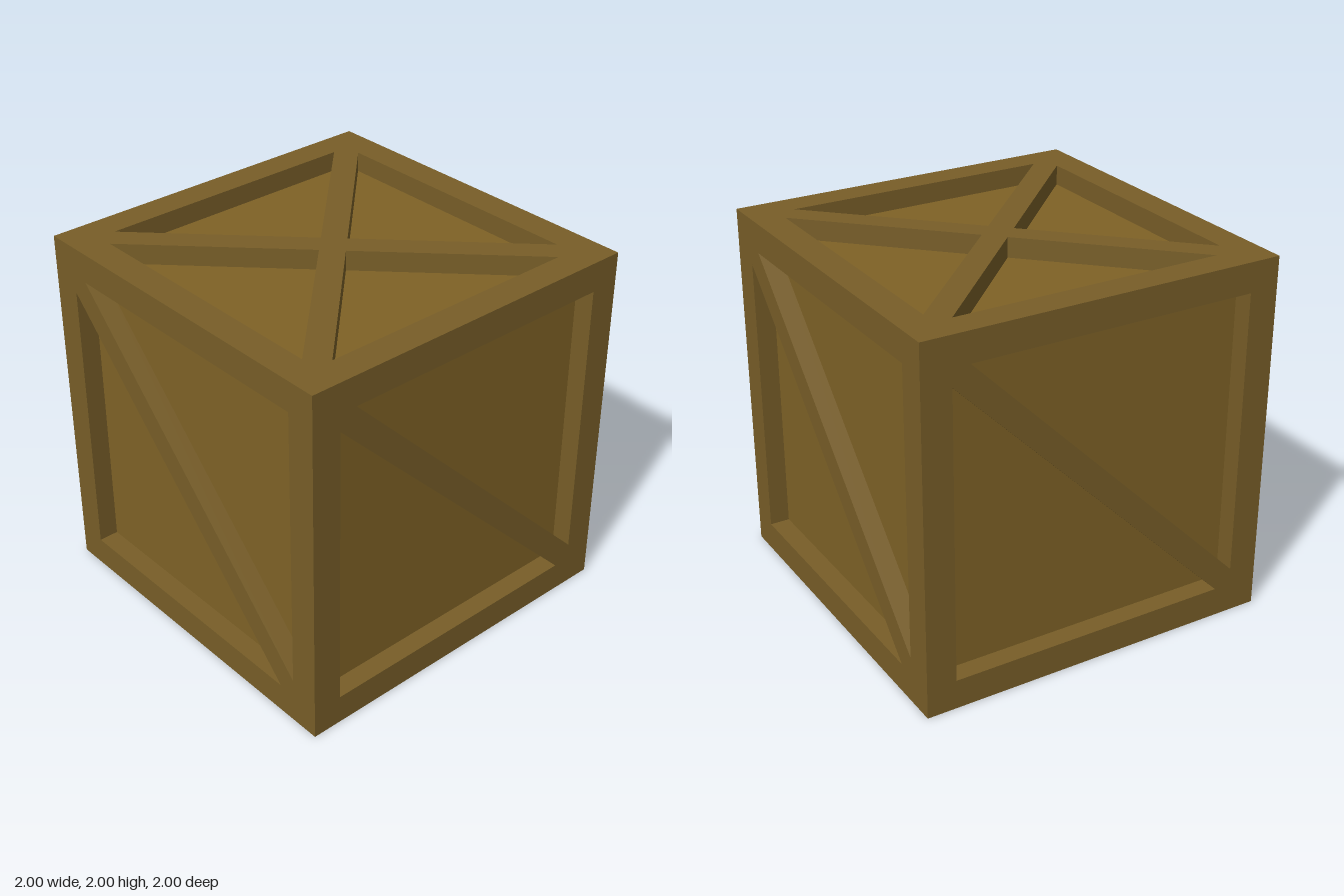
import * as THREE from 'three';

const DEPTH = 0.11;   // recess of the panels behind the frame
const OPEN = 0.837;   // half width of the frame opening
const GAP = 0.095;    // half width of a brace, measured along the frame

// One crate face: a square frame with triangular openings, mitred at the cube edges
function faceGeometry(triangles) {
  const shape = new THREE.Shape([[-1, -1], [1, -1], [1, 1], [-1, 1]].map(([x, y]) => new THREE.Vector2(x, y)));
  for (const tri of triangles) {
    shape.holes.push(new THREE.Path(tri.map(([x, y]) => new THREE.Vector2(x, y))));
  }
  const geo = new THREE.ExtrudeGeometry(shape, { depth: DEPTH, bevelEnabled: false });
  geo.translate(0, 0, 1 - DEPTH);
  const pos = geo.attributes.position;
  for (let i = 0; i < pos.count; i++) {
    if (pos.getZ(i) > 0.99) continue;
    for (const axis of ['X', 'Y']) {
      const v = pos['get' + axis](i);
      if (Math.abs(v) > 0.99) pos['set' + axis](i, Math.sign(v) * (1 - DEPTH));
    }
  }
  geo.computeVertexNormals();
  return geo;
}

export function createModel() {
  const crate = new THREE.Group();
  crate.name = 'crate';
  const frameMat = new THREE.MeshStandardMaterial({ color: 0x785e28 });
  const panelMat = new THREE.MeshStandardMaterial({ color: 0x7f6226 });

  // Inner box whose sides are the recessed panels
  const size = 2 * (1 - DEPTH);
  const panels = new THREE.Mesh(new THREE.BoxGeometry(size, size, size), panelMat);
  panels.name = 'panels';
  panels.position.y = 1;
  crate.add(panels);

  // Side faces: single brace from upper left to lower right
  const a = OPEN, b = OPEN - GAP;
  const sideGeo = faceGeometry([
    [[-b, a], [a, a], [a, -b]],
    [[-a, b], [-a, -a], [b, -a]],
  ]);
  ['front', 'left', 'back', 'right'].forEach((name, i) => {
    const side = new THREE.Mesh(sideGeo, frameMat);
    side.name = name + 'Frame';
    side.position.y = 1;
    side.rotation.y = i * Math.PI / 2;
    crate.add(side);
  });

  // Top and bottom faces: crossed braces
  const crossGeo = faceGeometry([
    [[-b, a], [b, a], [0, GAP]],
    [[-b, -a], [b, -a], [0, -GAP]],
    [[a, -b], [a, b], [GAP, 0]],
    [[-a, -b], [-a, b], [-GAP, 0]],
  ]);
  for (const [name, turn] of [['topFrame', -1], ['bottomFrame', 1]]) {
    const cap = new THREE.Mesh(crossGeo, frameMat);
    cap.name = name;
    cap.position.y = 1;
    cap.rotation.x = turn * Math.PI / 2;
    crate.add(cap);
  }
  return crate;
}
